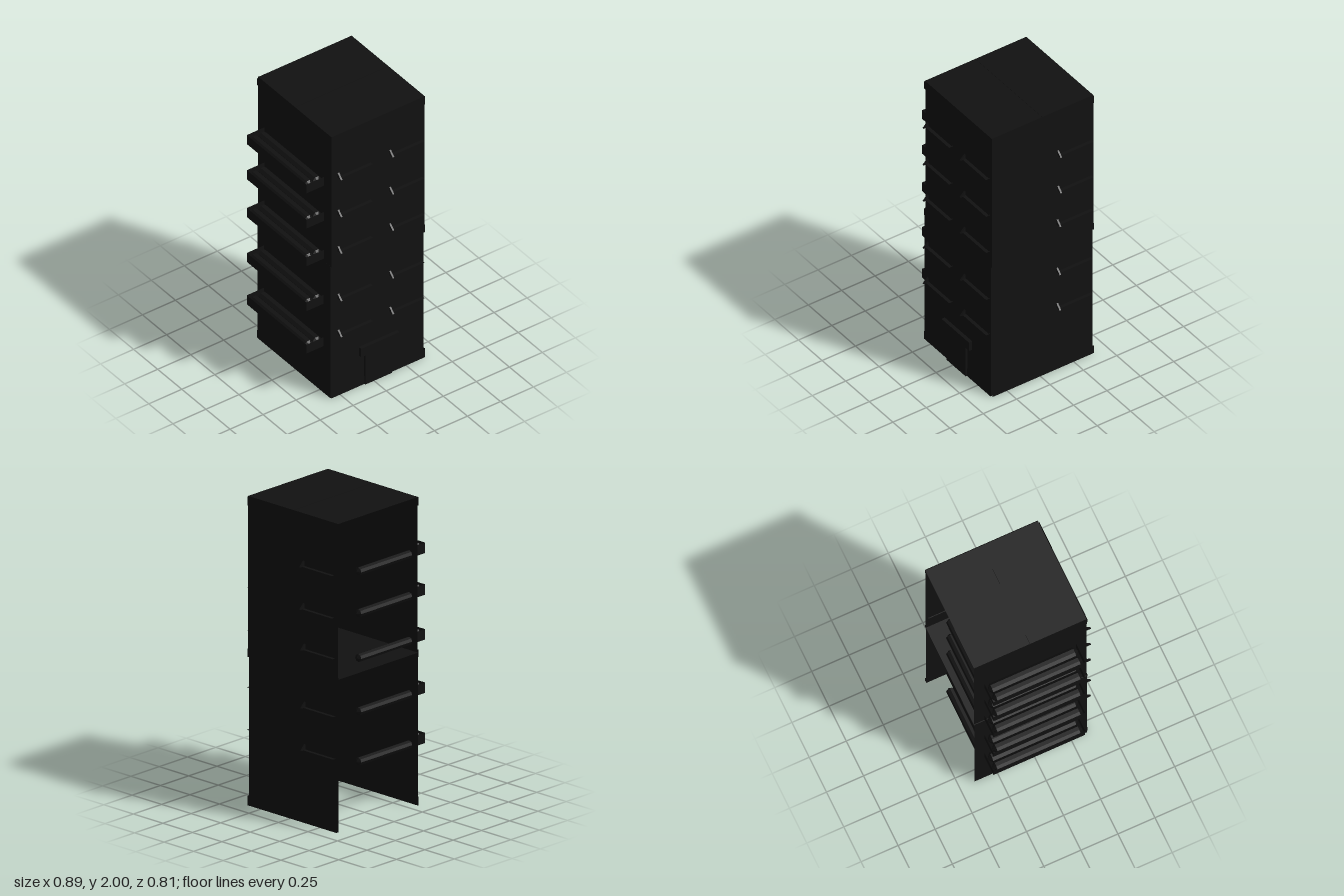
import * as THREE from 'three';

const mat = new THREE.MeshStandardMaterial({ color: 0x111111, flatShading: true, side: THREE.DoubleSide });

export function createModel() {
  const model = new THREE.Group();

  const add = (name, geo, x, y, z, parent = model) => {
    const m = new THREE.Mesh(geo, mat);
    m.name = name;
    m.position.set(x, y, z);
    parent.add(m);
    return m;
  };
  // thin upright panel facing z, thin upright panel facing x, flat horizontal sheet
  const panelZ = (name, x0, x1, y0, y1, z, p) =>
    add(name, new THREE.PlaneGeometry(x1 - x0, y1 - y0), (x0 + x1) / 2, (y0 + y1) / 2, z, p);
  const panelX = (name, z0, z1, y0, y1, x, p) =>
    add(name, new THREE.PlaneGeometry(z1 - z0, y1 - y0).rotateY(Math.PI / 2), x, (y0 + y1) / 2, (z0 + z1) / 2, p);
  const sheet = (name, x0, x1, z0, z1, y, p) =>
    add(name, new THREE.PlaneGeometry(x1 - x0, z1 - z0).rotateX(-Math.PI / 2), (x0 + x1) / 2, y, (z0 + z1) / 2, p);

  // Two stacked storey blocks, open at the back and at the bottom
  const back = -0.4, front = 0.36;
  [[0, 1, -0.318, 0.386], [1, 2, -0.312, 0.393]].forEach(([y0, y1, x0, x1], i) => {
    const block = new THREE.Group();
    block.name = i ? 'upperBlock' : 'lowerBlock';
    model.add(block);
    panelZ('frontWall', x0, x1, y0, y1, front, block);
    panelX('rightWall', back, front, y0, y1, x0, block);
    panelX('leftWall', back, front, y0, y1, x1, block);
    sheet(i ? 'roof' : 'middleFloor', x0, x1, back, front, i ? 1.998 : 0.99, block);
  });

  // Trim bands at the base, the joint and the roof edge
  for (const [y0, y1] of [[0, 0.06], [0.96, 1.01], [1.94, 1.995]]) {
    panelZ('frontTrim', -0.316, 0.392, y0, y1, front + 0.005);
    panelX('rightTrim', back, front, y0, y1, -0.32);
    panelX('leftTrim', back, front, y0, y1, 0.398);
  }
  // Roof seam
  add('roofSeam', new THREE.BoxGeometry(0.7, 0.003, 0.006), 0.04, 1.9985, -0.02);

  // Window: pane, flat sill and one small wedge at the sill's end (local +z is outward)
  const wedge = new THREE.Shape([[0, 0], [0.035, 0], [0, 0.035]].map(p => new THREE.Vector2(...p)));
  const wedgeGeo = new THREE.ExtrudeGeometry(wedge, { depth: 0.012, bevelEnabled: false }).rotateY(-Math.PI / 2);
  function windowUnit(name, width, height) {
    const g = new THREE.Group();
    g.name = name;
    panelZ('pane', -width / 2, width / 2, 0, height, 0.006, g);
    sheet('sill', -width / 2, width / 2, 0, 0.028, 0, g);
    add('sillWedge', wedgeGeo, -width / 2 + 0.012, 0.001, 0.012, g);
    model.add(g);
    return g;
  }
  for (const y of [1.68, 1.395, 1.115, 0.75, 0.475]) {
    for (const x of [-0.147, 0.245]) windowUnit('frontWindow', 0.255, 0.18).position.set(x, y, front);
  }
  for (const [y, x] of [[1.665, 0.396], [1.39, 0.396], [1.125, 0.388], [0.75, 0.386], [0.475, 0.386]]) {
    const w = windowUnit('sideWindow', 0.26, 0.18);
    w.position.set(x, y, -0.25);
    w.rotation.y = Math.PI / 2;
  }

  // Entrance door and lintel
  add('door', new THREE.BoxGeometry(0.2, 0.23, 0.014), 0.035, 0.115, 0.367);
  add('lintel', new THREE.BoxGeometry(0.29, 0.065, 0.024), 0.04, 0.265, 0.372);

  // Faceted bar with pointed ends, running along y before it is turned
  const bar = (r, len, tip) => new THREE.LatheGeometry(
    [[0, -len / 2], [r, -len / 2 + tip], [r, len / 2 - tip], [0, len / 2]].map(p => new THREE.Vector2(...p)), 8);
  const balconyBar = bar(0.033, 0.61, 0.025).rotateY(Math.PI / 8).rotateX(Math.PI / 2);
  const rearBar = bar(0.026, 0.48, 0.015).rotateZ(Math.PI / 2);

  // Side ledges: two bars behind a thin guard, plus a bar across the open back
  for (const y of [1.62, 1.35, 1.06, 0.715, 0.39]) {
    const ledge = new THREE.Group();
    ledge.name = 'sideLedge';
    ledge.position.y = y;
    model.add(ledge);
    for (const x of [-0.413, -0.35]) add('ledgeBar', balconyBar, x, 0, -0.022, ledge);
    panelX('ledgeGuard', -0.332, 0.287, -0.034, 0.034, -0.448, ledge);
    for (const z of [-0.332, 0.287]) panelZ('ledgeEnd', -0.448, -0.315, -0.034, 0.034, z, ledge);
    add('rearBar', rearBar, -0.07, y, -0.345);
  }
  return model;
}
